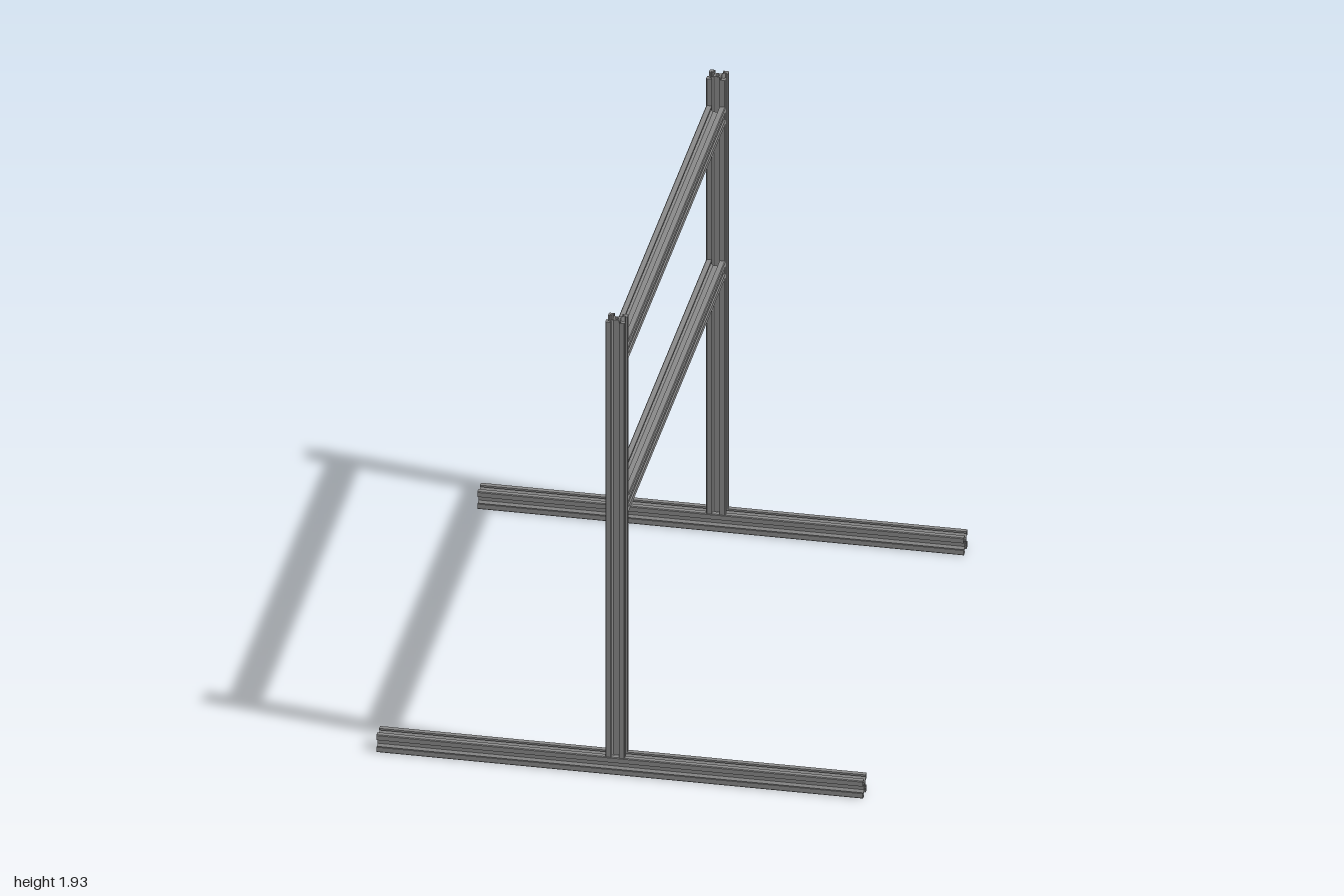
import * as THREE from 'three';

const W = 0.074;        // profile width
const L = 1.852;        // length of every bar
const X = -0.018;       // centre plane of posts and rails
const Z = 1 - W / 2;    // centre of each end frame

// Slotted square section: one side, repeated four times, with a round core hole
function slottedProfile() {
  const side = [
    [1, -0.92], [1, -0.41], [0.8, -0.41], [0.8, -0.6], [0.7, -0.6], [0.38, -0.28],
    [0.38, 0.28], [0.7, 0.6], [0.8, 0.6], [0.8, 0.41], [1, 0.41], [1, 0.92],
  ];
  const points = [];
  for (let i = 0; i < 4; i++) {
    const turn = i * Math.PI / 2;
    for (const [x, y] of side) {
      points.push(new THREE.Vector2(x, y).multiplyScalar(W / 2).rotateAround(new THREE.Vector2(), turn));
    }
  }
  const shape = new THREE.Shape(points);
  const core = new THREE.Path();
  core.absarc(0, 0, W * 0.1, 0, Math.PI * 2, true);
  shape.holes.push(core);
  return shape;
}

export function createModel() {
  const model = new THREE.Group();
  model.name = 'slottedBarFrame';
  const aluminium = new THREE.MeshStandardMaterial({ color: 0x888888 });
  aluminium.name = 'greyAluminium';

  // One bar along z, centred on its own middle
  const barGeometry = new THREE.ExtrudeGeometry(slottedProfile(), {
    depth: L, bevelEnabled: false, curveSegments: 8,
  });
  barGeometry.translate(0, 0, -L / 2);

  function addBar(name, x, y, z, rx = 0, ry = 0) {
    const bar = new THREE.Mesh(barGeometry, aluminium);
    bar.name = name;
    bar.position.set(x, y, z);
    bar.rotation.set(rx, ry, 0);
    model.add(bar);
  }

  // Foot and upright at each end
  for (const [end, z] of [['front', Z], ['back', -Z]]) {
    addBar(end + 'Foot', 0, W / 2, z, 0, Math.PI / 2);
    addBar(end + 'Post', X, W + L / 2, z, -Math.PI / 2);
  }

  // Cross rails between the uprights
  addBar('upperRail', X, 1.775, 0);
  addBar('lowerRail', X, 1.12, 0);

  return model;
}
